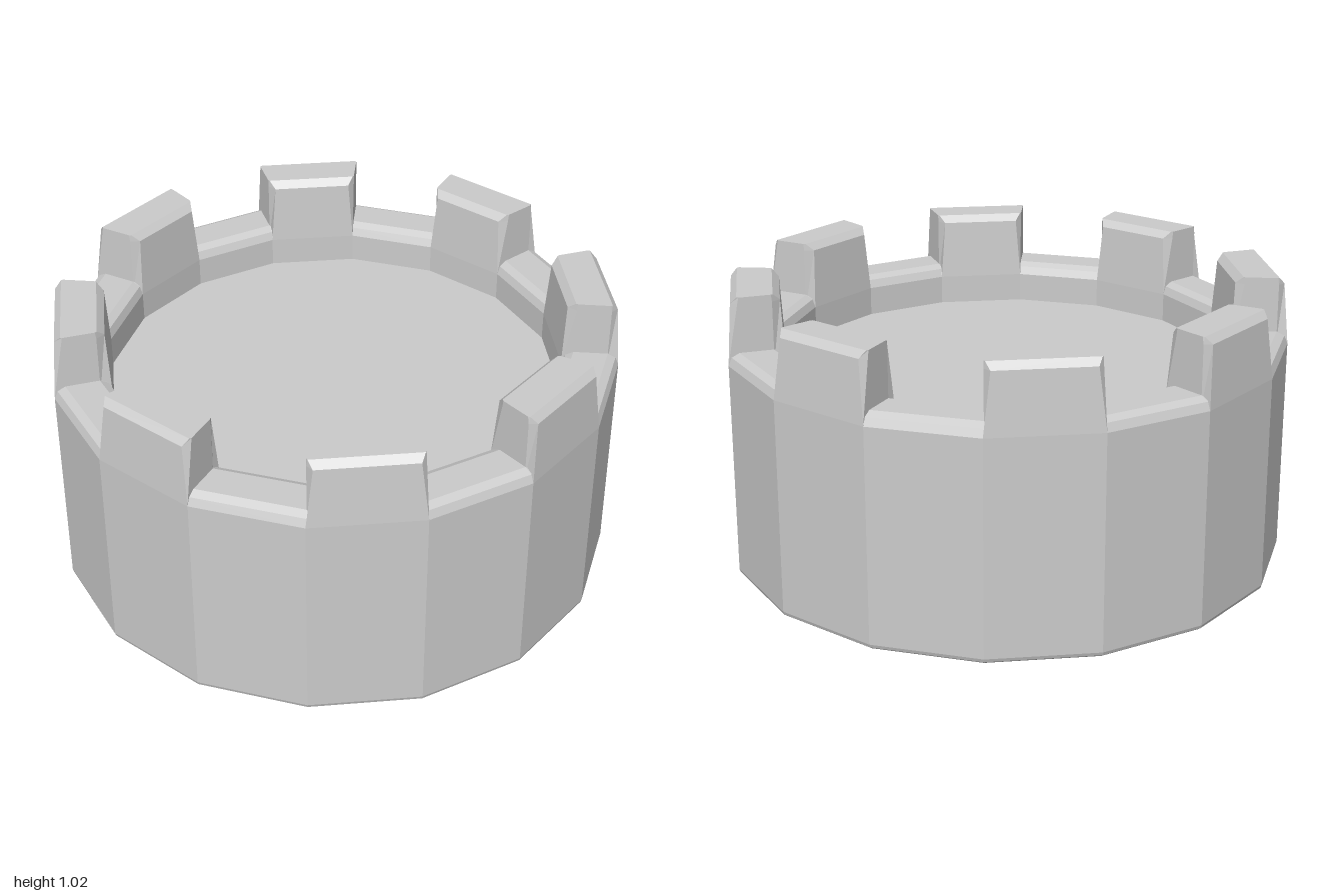
import * as THREE from 'three';

const SIDES = 16;
const STEP = (Math.PI * 2) / SIDES;

function flat(geometry) {
  const g = geometry.index ? geometry.toNonIndexed() : geometry;
  g.computeVertexNormals();
  return g;
}

// Point at radius r on the chord between two sector edges, f = 0..1 along it.
function chordPoint(a0, a1, r, f, y) {
  return new THREE.Vector3(
    r * THREE.MathUtils.lerp(Math.sin(a0), Math.sin(a1), f), y,
    r * THREE.MathUtils.lerp(Math.cos(a0), Math.cos(a1), f));
}

// Eight-cornered outline of a merlon at one height, counterclockwise from above.
function outline(a0, a1, { y, out, sideOut, sideIn, inn, f }) {
  return [
    [out, f], [out, 1 - f], [sideOut, 1], [sideIn, 1],
    [inn, 1 - f], [inn, f], [sideIn, 0], [sideOut, 0],
  ].map(([r, t]) => chordPoint(a0, a1, r, t, y));
}

// One merlon: corner chamfers widen upward, top edges bevelled in and out.
function merlonGeometry(a0, a1) {
  const loops = [
    { y: 0.785, out: 1, sideOut: 0.96, sideIn: 0.84, inn: 0.8, f: 0 },
    { y: 1.0, out: 0.985, sideOut: 0.96, sideIn: 0.84, inn: 0.812, f: 0.06 },
    { y: 1.025, out: 0.962, sideOut: 0.955, sideIn: 0.843, inn: 0.837, f: 0.012 },
  ].map((level) => outline(a0, a1, level));
  const tris = [];
  for (let l = 0; l < loops.length - 1; l++) {
    const b = loops[l], t = loops[l + 1];
    for (let i = 0; i < 8; i++) {
      const j = (i + 1) % 8;
      tris.push(b[i], b[j], t[j], b[i], t[j], t[i]);
    }
  }
  const top = loops[loops.length - 1];
  for (let i = 1; i < 7; i++) tris.push(top[0], top[i], top[i + 1]);
  return flat(new THREE.BufferGeometry().setFromPoints(tris));
}

export function createModel() {
  const group = new THREE.Group();
  group.name = 'towerTop';
  const material = new THREE.MeshStandardMaterial({ color: 0xcccccc, flatShading: true });

  // Drum with a bevelled parapet rim and a sunken floor
  const profile = [
    [0, 0], [0.985, 0], [0.996, 0.008], [1, 0.02], [1, 0.785], [0.988, 0.814], [0.96, 0.828],
    [0.84, 0.828], [0.812, 0.814], [0.8, 0.785], [0.8, 0.68], [0, 0.68],
  ].map(([r, y]) => new THREE.Vector2(r, y));
  const drum = new THREE.Mesh(flat(new THREE.LatheGeometry(profile, SIDES)), material);
  drum.name = 'drum';
  group.add(drum);

  // Merlons on every other side
  const merlons = new THREE.Group();
  merlons.name = 'merlons';
  for (let k = 0; k < SIDES; k += 2) {
    const merlon = new THREE.Mesh(merlonGeometry((k - 1) * STEP, k * STEP), material);
    merlon.name = `merlon${k / 2 + 1}`;
    merlons.add(merlon);
  }
  group.add(merlons);
  return group;
}
